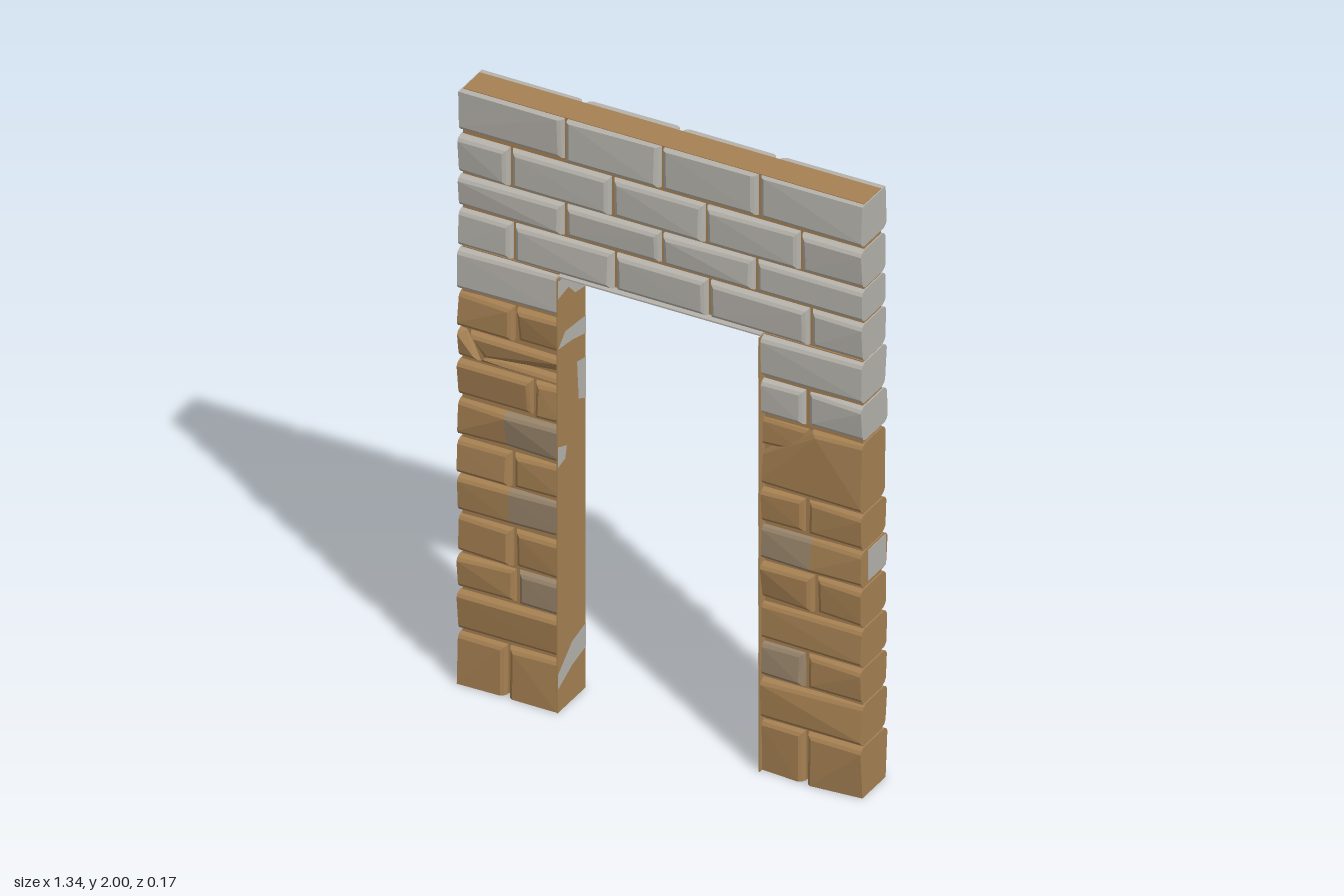
import * as THREE from 'three';
import { ConvexGeometry } from 'three/addons/geometries/ConvexGeometry.js';

const mat = (name, color, extra = {}) => {
  const m = new THREE.MeshStandardMaterial({ color, ...extra });
  m.name = name;
  return m;
};

const END = 0.667, JAMB = 0.335, SPRING = 1.47, TOP = 1.998;

// Repeatable value in 0..1 for a position
const hash = (a, b, c) => {
  const s = Math.sin(a * 127.1 + b * 311.7 + c * 74.7) * 43758.5453;
  return s - Math.floor(s);
};

// Rounded stone from a convex outline; edges listed as flush stay square
function stoneGeometry(outline, depth, rough, flush) {
  const cx = outline.reduce((s, p) => s + p[0], 0) / outline.length;
  const cy = outline.reduce((s, p) => s + p[1], 0) / outline.length;
  const rings = [[0, 0.016], [0.006, 0.006], [0.018, 0]];
  const isFlush = (x) => flush.some((f) => Math.abs(f - x) < 0.001);
  const points = [];
  for (const side of [1, -1]) {
    for (const [x, y] of outline) {
      const dent = rough * hash(x, y, side);
      for (const [back, inset] of rings) {
        const ix = isFlush(x) ? 0 : Math.sign(cx - x) * inset;
        const iy = y === 0 || y === TOP ? 0 : Math.sign(cy - y) * inset;
        points.push(new THREE.Vector3(x + ix, y + iy, side * (depth - back - dent)));
      }
    }
  }
  return new ConvexGeometry(points);
}

export function createModel() {
  const model = new THREE.Group();
  model.name = 'stoneDoorway';
  const grey = mat('greyStone', 0xb5b2ab);
  const brown = mat('brownStone', 0xa58052);
  const dusty = mat('dustyStone', 0x96836a);
  const colours = { g: grey, b: brown, d: dusty };

  const add = (name, geometry, material, parent = model) => {
    const mesh = new THREE.Mesh(geometry, material);
    mesh.name = name;
    parent.add(mesh);
    return mesh;
  };
  const box = (name, material, x0, x1, y0, y1, z0, z1) =>
    add(name, new THREE.BoxGeometry(x1 - x0, y1 - y0, z1 - z0), material)
      .position.set((x0 + x1) / 2, (y0 + y1) / 2, (z0 + z1) / 2);

  const group = (name) => {
    const g = new THREE.Group();
    g.name = name;
    model.add(g);
    return g;
  };

  // One course: x0, x1, splits, colour letters; a split marked blend has no joint
  function course(parent, x0, x1, y0, y1, splits, letters, depth, rough, blend = false) {
    const xs = [x0, ...splits, x1];
    const flush = [END, -END, JAMB, -JAMB, ...(blend ? splits : [])];
    for (let i = 0; i < xs.length - 1; i++) {
      const gap = (x) => (flush.includes(x) ? 0 : 0.005);
      const a = xs[i] + gap(xs[i]), b = xs[i + 1] - gap(xs[i + 1]);
      const outline = [[a, y0], [b, y0], [b, y1], [a, y1]];
      add('stone', stoneGeometry(outline, depth, rough, flush), colours[letters[i] || letters[0]], parent);
    }
  }

  // Mortar core
  box('lintelCore', brown, -END + 0.004, END - 0.004, SPRING, 2, -0.05, 0.05);
  for (const s of [-1, 1]) {
    const c = s * 0.5;
    box('pillarCore', brown, c - 0.162, c + 0.162, 0.003, SPRING, -0.055, 0.055);
  }

  // Lintel courses
  const lintel = group('lintelStones');
  const lintelRows = [
    [1.862, TOP, [-0.32, 0, 0.32]],
    [1.72, 1.848, [-0.5, -0.165, 0.145, 0.46]],
    [1.607, 1.712, [-0.32, 0, 0.31]],
    [1.474, 1.597, [-0.49, -0.155, 0.155, 0.49]],
  ];
  for (const [y0, y1, splits] of lintelRows) {
    course(lintel, -END, END, y0, y1, splits, 'g', 0.077, 0.01);
  }

  // Pillar courses: bottom, top, splits, colours, blended
  const rightRows = [
    [0, 0.168, [-0.505], 'b'],
    [0.178, 0.31, [], 'b'],
    [0.32, 0.432, [-0.475], 'bd'],
    [0.442, 0.567, [-0.485], 'b'],
    [0.58, 0.7, [-0.5], 'bd', true],
    [0.71, 0.825, [-0.49], 'b'],
    [0.838, 0.957, [-0.51], 'bd', true],
    [0.97, 1.09, [-0.42], 'b'],
    [1.205, 1.32, [-0.48], 'b'],
    [1.332, 1.467, [], 'g'],
  ];
  const leftRows = [
    [0, 0.168, [0.48], 'b'],
    [0.178, 0.31, [], 'b'],
    [0.32, 0.432, [0.48], 'db'],
    [0.444, 0.567, [], 'b'],
    [0.58, 0.702, [0.51], 'b'],
    [0.715, 0.828, [0.5], 'db', true],
    [0.838, 0.953, [0.48], 'b'],
    [1.203, 1.32, [0.48], 'g'],
    [1.332, 1.467, [], 'g'],
  ];
  const rightPillar = group('rightPillarStones');
  const leftPillar = group('leftPillarStones');
  for (const [y0, y1, splits, c, blend] of rightRows) {
    course(rightPillar, -END, -JAMB, y0, y1, splits, c, 0.083, 0.016, blend);
  }
  for (const [y0, y1, splits, c, blend] of leftRows) {
    course(leftPillar, JAMB, END, y0, y1, splits, c, 0.083, 0.016, blend);
  }

  // Broken stones with slanted joints
  const ends = [END, -END, JAMB, -JAMB];
  const broken = [
    [rightPillar, [[-END, 1.1], [-0.6, 1.1], [-0.64, 1.196], [-END, 1.196]]],
    [rightPillar, [[-0.6, 1.1], [-JAMB, 1.1], [-JAMB, 1.13], [-0.53, 1.13]]],
    [rightPillar, [[-0.59, 1.115], [-0.53, 1.135], [-JAMB, 1.14], [-JAMB, 1.19], [-0.63, 1.196]]],
    [leftPillar, [[JAMB, 0.965], [END, 0.965], [END, 1.193], [0.5, 1.193], [0.475, 1.09], [JAMB, 1.08]].filter((p, i) => i < 4 || i === 5)],
    [leftPillar, [[JAMB, 1.095], [0.475, 1.105], [0.49, 1.193], [JAMB, 1.193]]],
  ];
  for (const [parent, outline] of broken) {
    add('brokenStone', stoneGeometry(outline, 0.082, 0.018, ends), brown, parent);
  }

  // Flat lining of the opening
  box('soffit', grey, -JAMB, JAMB, 1.47, 1.475, -0.077, 0.077);
  for (const s of [-1, 1]) {
    const x = s * (JAMB - 0.001);
    box('jambLining', brown, x - 0.002, x + 0.002, 0, 1.468, -0.083, 0.083);
  }

  // Worn grey patches on the lining, as z and y outlines
  const patches = [
    [-1, [[-0.083, 1.46], [0.083, 1.46], [0.083, 1.4], [0.02, 1.41], [-0.02, 1.37], [-0.083, 1.36]]],
    [-1, [[-0.083, 1.12], [-0.03, 1.13], [-0.04, 1.0], [-0.083, 0.98]]],
    [-1, [[-0.083, 1.26], [0.04, 1.27], [0.083, 1.23], [0, 1.22], [-0.083, 1.2]]],
    [-1, [[0.083, 0.9], [0.03, 0.88], [0.04, 0.84], [0.083, 0.83]]],
    [-1, [[-0.083, 0.22], [0, 0.2], [0.083, 0.13], [0.083, 0.08], [0, 0.12], [-0.083, 0.14]]],
    [1, [[-0.083, 1.46], [0.083, 1.44], [0.083, 1.33], [0, 1.37], [-0.083, 1.35]]],
    [1, [[-0.083, 0.95], [0, 0.97], [0.083, 0.94], [0.083, 0.83], [0.02, 0.82], [-0.083, 0.84]]],
    [1, [[-0.083, 0.75], [0.03, 0.76], [0.083, 0.72], [0.083, 0.56], [0, 0.6], [-0.083, 0.57]]],
    [1, [[-0.083, 0.42], [0, 0.44], [0.083, 0.4], [0.083, 0.36], [-0.083, 0.35]]],
  ];
  const worn = mat('wornGrey', 0xb5b2ab, { side: THREE.DoubleSide });
  for (const [s, pts] of patches) {
    const shape = new THREE.Shape(pts.map(([z, y]) => new THREE.Vector2(-z, y)));
    const patch = add('wornPatch', new THREE.ShapeGeometry(shape), worn);
    patch.rotation.y = Math.PI / 2;
    patch.position.x = s * (JAMB - 0.0045);
  }

  // Pale stone face on the outer end of the left pillar
  box('paleEndFace', grey, END - 0.004, END + 0.002, 0.72, 0.823, -0.068, 0.035);

  return model;
}
